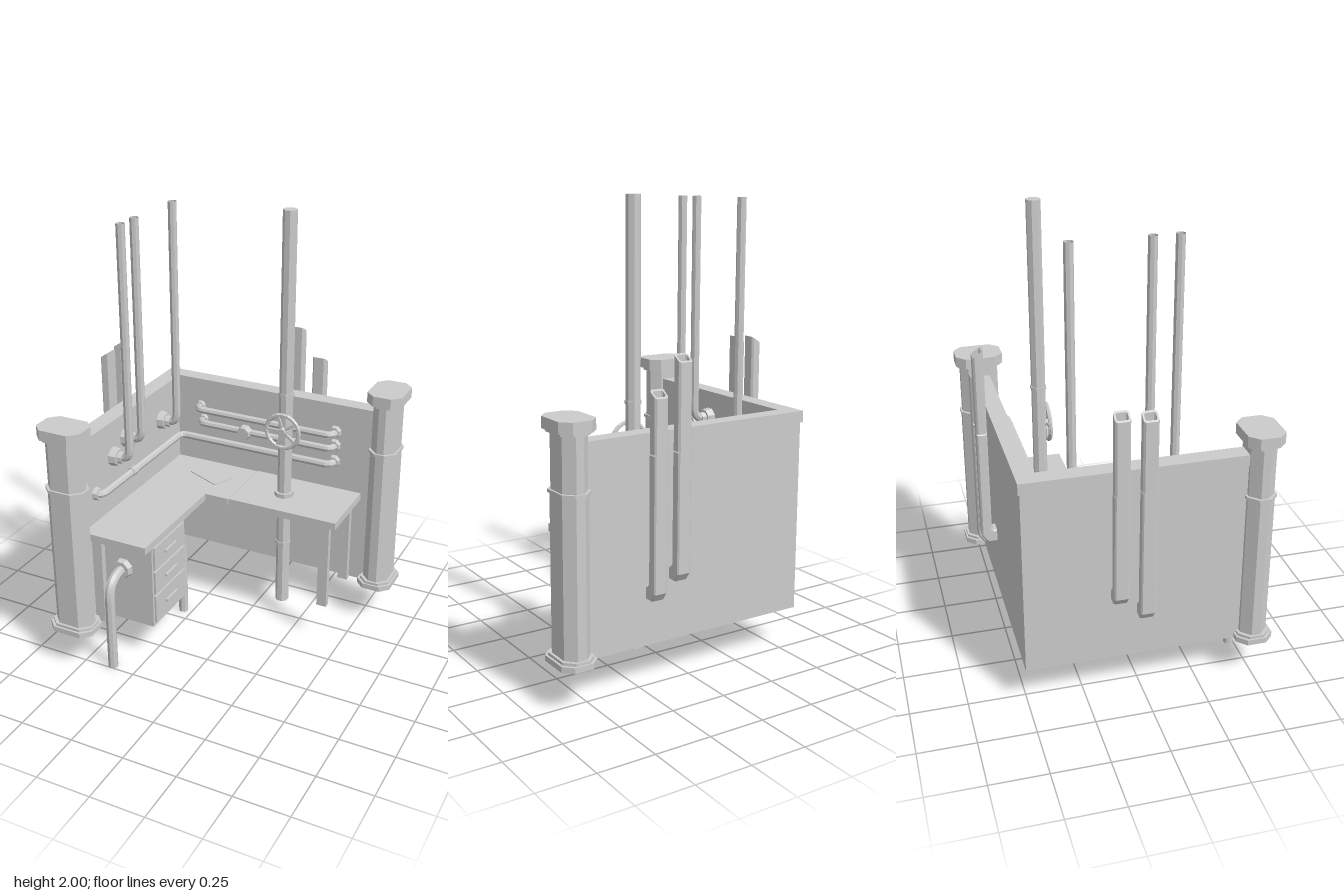
import * as THREE from 'three';

const V = (x, y, z) => new THREE.Vector3(x, y, z);

export function createModel() {
  const root = new THREE.Group();
  const mat = new THREE.MeshStandardMaterial({ color: 0xcccccc, flatShading: true });
  const open = new THREE.MeshStandardMaterial({ color: 0xcccccc, flatShading: true, side: THREE.DoubleSide });

  const add = (name, geo, parent = root, material = mat) => {
    const m = new THREE.Mesh(geo, material);
    m.name = name;
    parent.add(m);
    return m;
  };
  const group = (name) => {
    const g = new THREE.Group();
    g.name = name;
    root.add(g);
    return g;
  };
  // Box given by its limits on each axis
  const box = (name, x0, x1, y0, y1, z0, z1, parent = root) =>
    add(name, new THREE.BoxGeometry(x1 - x0, y1 - y0, z1 - z0)
      .translate((x0 + x1) / 2, (y0 + y1) / 2, (z0 + z1) / 2), parent);
  // Rectangle with cut corners, half sizes a and b
  const cutRect = (a, b, c) => [[-a + c, -b], [a - c, -b], [a, -b + c], [a, b - c],
    [a - c, b], [-a + c, b], [-a, b - c], [-a, -b + c]].map(p => new THREE.Vector2(...p));
  // Upright prism of a plan outline (x, -z)
  const prism = (shape, y0, y1) =>
    new THREE.ExtrudeGeometry(shape, { depth: y1 - y0, bevelEnabled: false }).rotateX(-Math.PI / 2).translate(0, y0, 0);
  // Pipe along straight runs with rounded bends
  const pipe = (name, pts, r, bend, parent = root) => {
    const path = new THREE.CurvePath();
    let from = pts[0];
    for (let i = 1; i < pts.length - 1; i++) {
      const p = pts[i], a = pts[i - 1].clone().sub(p), b = pts[i + 1].clone().sub(p);
      const k = Math.min(bend, a.length() * 0.9, b.length() * 0.9);
      const s = p.clone().addScaledVector(a.normalize(), k);
      const e = p.clone().addScaledVector(b.normalize(), k);
      path.add(new THREE.LineCurve3(from, s));
      path.add(new THREE.QuadraticBezierCurve3(s, p, e));
      from = e;
    }
    path.add(new THREE.LineCurve3(from, pts[pts.length - 1]));
    return add(name, new THREE.TubeGeometry(path, 90, r, 8, false), parent, open);
  };
  // Octagonal disc facing along an axis
  const disc = (name, axis, x, y, z, r, h, parent = root) => {
    const g = new THREE.CylinderGeometry(r * 0.85, r, h, 8).rotateY(Math.PI / 8);
    if (axis === 'x') g.rotateZ(-Math.PI / 2);
    if (axis === 'z') g.rotateX(Math.PI / 2);
    return add(name, g.translate(x, y, z), parent);
  };

  // Two walls meeting in a corner, with coping on top
  const walls = group('walls');
  box('backWall', -0.572, 0.53, 0.18, 1.035, -0.507, -0.45, walls);
  box('sideWall', -0.572, -0.51, 0.18, 1.035, -0.45, 0.46, walls);
  box('backCoping', -0.58, 0.53, 1.03, 1.08, -0.515, -0.44, walls);
  box('sideCoping', -0.58, -0.5, 1.03, 1.08, -0.44, 0.46, walls);

  // Cut-corner pillars at the wall ends
  for (const [x, z, turn] of [[0.56, -0.483, 0], [-0.538, 0.502, Math.PI / 2]]) {
    const p = group('pillar');
    const part = (name, a, b, y0, y1) => add(name, prism(new THREE.Shape(cutRect(a, b, 0.04)), y0, y1), p);
    part('pillarBase', 0.082, 0.108, 0.18, 0.205);
    part('pillarFoot', 0.072, 0.1, 0.205, 0.217);
    part('pillarShaft', 0.06, 0.09, 0.217, 0.885);
    part('pillarBand', 0.066, 0.096, 0.88, 0.893);
    part('pillarNeck', 0.057, 0.087, 0.893, 1.13);
    part('pillarCollar', 0.07, 0.098, 1.12, 1.132);
    part('pillarCap', 0.082, 0.108, 1.132, 1.18);
    p.position.set(x, 0, z);
    p.rotation.y = turn;
  }

  // L-shaped desk in three sections
  const desk = group('desk');
  const corner = [[-0.51, -0.45], [-0.08, -0.45], [-0.08, -0.125], [-0.197, -0.125], [-0.197, 0.018], [-0.51, 0.018]]
    .map(([x, z]) => new THREE.Vector2(x, -z)).reverse();
  add('cornerTop', prism(new THREE.Shape(corner), 0.61, 0.642), desk);
  box('rightTop', -0.075, 0.46, 0.61, 0.645, -0.45, -0.123, desk);
  box('leftTop', -0.51, -0.195, 0.61, 0.645, 0.023, 0.445, desk);
  for (const [x, z] of [[0.4, -0.157], [0.4, -0.425], [-0.46, 0.405]])
    box('deskLeg', x - 0.024, x + 0.024, 0.18, 0.61, z - 0.014, z + 0.014, desk);

  // Drawer cabinet
  const cabinet = group('cabinet');
  box('cabinetBody', -0.46, -0.217, 0.18, 0.61, 0.055, 0.355, cabinet);
  for (const [y0, y1] of [[0.2, 0.335], [0.345, 0.46], [0.47, 0.585]]) {
    const y = (y0 + y1) / 2;
    box('drawerFront', -0.22, -0.208, y0, y1, 0.068, 0.342, cabinet);
    box('drawerHandle', -0.21, -0.198, y - 0.006, y + 0.006, 0.155, 0.255, cabinet);
  }

  // Pipes leaving the cabinet and dropping to the floor
  for (const [x, z0, s, reach] of [[-0.365, 0.355, 1, 0.125], [-0.295, 0.055, -1, 0.122]]) {
    const f = disc('cabinetFlange', 'z', 0, 0, 0, 0.05, 0.03);
    f.position.set(x, 0.455, z0 + s * 0.012);
    if (s < 0) f.rotation.y = Math.PI;
    pipe('cabinetPipe', [V(x, 0.455, z0), V(x, 0.455, z0 + s * reach), V(x, 0, z0 + s * reach)], 0.023, 0.1);
  }

  // Tall pipe through the desk, with collars and a handwheel
  const tall = group('tallPipe');
  const up = (name, r, y0, y1, a = Math.PI / 8) => add(name,
    new THREE.CylinderGeometry(r, r, y1 - y0, 8).rotateY(a).translate(0.14, (y0 + y1) / 2, -0.28), tall);
  up('mainPipe', 0.032, 0.07, 2);
  up('upperRing', 0.036, 1.15, 1.165);
  up('lowerRing', 0.036, 0.385, 0.4);
  up('deskCollarTop', 0.046, 0.642, 0.665);
  up('deskCollarBottom', 0.046, 0.588, 0.612);
  const wheel = new THREE.Group();
  wheel.name = 'handwheel';
  wheel.position.set(0.14, 0.985, -0.245);
  tall.add(wheel);
  add('rim', new THREE.TorusGeometry(0.081, 0.01, 6, 20), wheel);
  add('hub', new THREE.CylinderGeometry(0.018, 0.022, 0.03, 8).rotateX(Math.PI / 2), wheel);
  for (let i = 0; i < 5; i++)
    add('spoke', new THREE.BoxGeometry(0.012, 0.075, 0.01).translate(0, 0.042, 0), wheel)
      .rotation.z = i * Math.PI * 0.4 + 0.3;

  // Pipes rising from the side wall
  for (const [z, y] of [[-0.262, 0.91], [0.065, 0.955], [0.175, 0.905]]) {
    disc('riserFlange', 'x', -0.495, y, z, 0.046, 0.04);
    disc('riserSocket', 'x', -0.468, y, z, 0.03, 0.03);
    pipe('riserPipe', [V(-0.5, y, z), V(-0.42, y, z), V(-0.42, 1.98, z)], 0.02, 0.055);
  }

  // Horizontal pipes along the walls
  const zr = -0.398;
  for (const [y, x0] of [[0.938, -0.385], [0.869, -0.37]]) {
    pipe('wallPipe', [V(x0, y, -0.455), V(x0, y, zr), V(0.325, y, zr), V(0.325, y, -0.455)], 0.017, 0.04);
    disc('wallFlange', 'z', x0, y, -0.442, 0.026, 0.02);
  }
  for (const y of [0.938, 0.869, 0.787]) disc('wallFlange', 'z', 0.32, y, -0.44, 0.032, 0.025);
  pipe('cornerPipe', [V(0.325, 0.787, -0.455), V(0.325, 0.787, zr), V(-0.475, 0.787, zr),
    V(-0.475, 0.787, 0.335), V(-0.515, 0.787, 0.335)], 0.018, 0.04);
  disc('wallFlange', 'x', -0.5, 0.787, 0.33, 0.032, 0.025);
  add('pipeJoint', new THREE.CylinderGeometry(0.022, 0.022, 0.035, 8).rotateX(Math.PI / 2), root)
    .position.set(-0.475, 0.787, 0.065);
  disc('gauge', 'z', -0.12, 0.869, -0.382, 0.037, 0.035);

  // Sheet of paper on the desk
  const sheet = add('paper', new THREE.BoxGeometry(0.186, 0.004, 0.115));
  sheet.position.set(-0.26, 0.645, -0.313);
  sheet.rotation.y = -0.42;

  // Outside ducts: solid elbow into the wall below, open slanted mouth above
  const duct = (top, bottom) => {
    const g = group('duct');
    const side = new THREE.Shape([[0, bottom], [0.045, bottom], [0.07, bottom + 0.035], [0.07, 1], [0.024, 1],
      [0.024, bottom + 0.075], [0.014, bottom + 0.06], [0, bottom + 0.06]].map(p => new THREE.Vector2(...p)));
    add('ductElbow', new THREE.ExtrudeGeometry(side, { depth: 0.052, bevelEnabled: true, bevelSize: 0.006,
      bevelThickness: 0.006, bevelOffset: -0.006, bevelSegments: 1 })
      .translate(0, 0, -0.026).rotateY(-Math.PI / 2), g);
    const ring = new THREE.Shape(cutRect(0.032, 0.023, 0.008));
    ring.holes.push(new THREE.Path(cutRect(0.024, 0.015, 0.005).reverse()));
    const mouth = prism(ring, 1, top).translate(0, 0, 0.047);
    const p = mouth.attributes.position;
    for (let i = 0; i < p.count; i++)
      if (p.getY(i) > 1.01) p.setY(i, top - (p.getZ(i) - 0.024) * 0.65);
    mouth.computeVertexNormals();
    add('ductMouth', mouth, g);
    return g;
  };
  // Local +z points away from the wall
  for (const [x, top, bottom] of [[0.08, 1.388, 0.45], [0.193, 1.255, 0.385]]) {
    const d = duct(top, bottom);
    d.position.set(x, 0, -0.506);
    d.rotation.y = Math.PI;
  }
  for (const [z, top, bottom] of [[-0.107, 1.353, 0.48], [0.007, 1.34, 0.39]]) {
    const d = duct(top, bottom);
    d.position.set(-0.571, 0, z);
    d.rotation.y = -Math.PI / 2;
  }
  return root;
}
